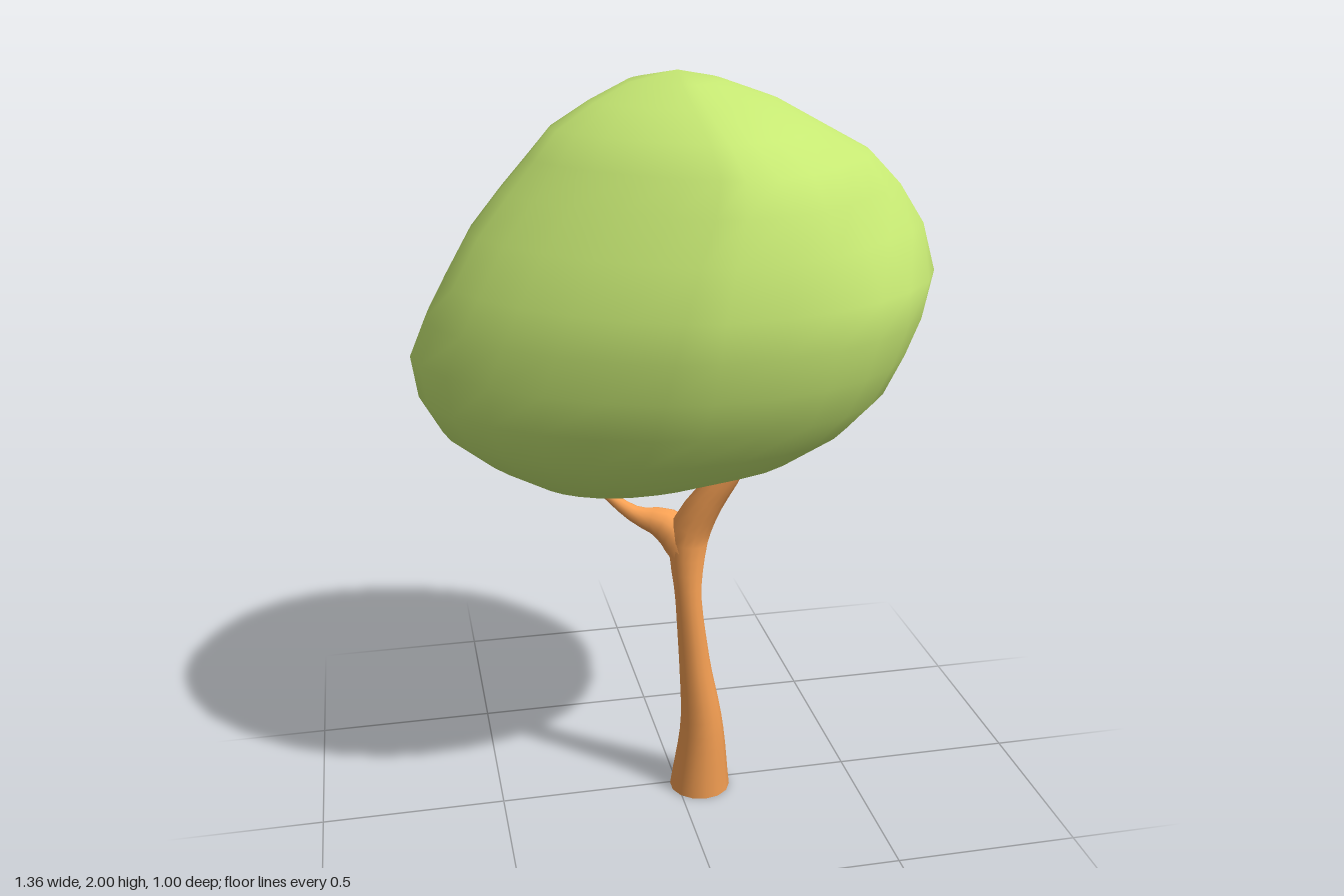
import * as THREE from 'three';

const bark = new THREE.MeshStandardMaterial({ color: 0xf8a154, side: THREE.DoubleSide });
const leaf = new THREE.MeshStandardMaterial({ color: 0xc6e873 });

// Tapered open limb: points are [x, y, z, radius]
function limb(name, points, rows, sides) {
  const curve = new THREE.CatmullRomCurve3(points.map(p => new THREE.Vector3(p[0], p[1], p[2])));
  const radii = new THREE.CatmullRomCurve3(points.map(p => new THREE.Vector3(p[3], 0, 0)));
  const geo = new THREE.TubeGeometry(curve, rows, 1, sides, false);
  const pos = geo.attributes.position;
  const v = new THREE.Vector3();
  for (let i = 0; i <= rows; i++) {
    const u = curve.getUtoTmapping(i / rows);
    const c = curve.getPoint(u);
    const r = radii.getPoint(u).x;
    for (let j = 0; j <= sides; j++) {
      const k = i * (sides + 1) + j;
      v.fromBufferAttribute(pos, k).sub(c).multiplyScalar(r).add(c);
      if (points[0][1] === 0 && i === 0) v.y = 0; // flat foot
      pos.setXYZ(k, v.x, v.y, v.z);
    }
  }
  const mesh = new THREE.Mesh(geo, bark);
  mesh.name = name;
  return mesh;
}

// Canopy cross-sections: [y, xMin, xMax, zBack, zFront, pivotX, pivotZ]
const RINGS = [
  [0.94, -0.30, -0.08, -0.07, 0.09, -0.19, 0.02],
  [0.96, -0.37, 0.09, -0.15, 0.16, -0.15, 0.01],
  [1.03, -0.50, 0.32, -0.28, 0.29, -0.10, 0],
  [1.11, -0.61, 0.46, -0.37, 0.37, -0.06, -0.02],
  [1.20, -0.665, 0.56, -0.42, 0.43, -0.03, -0.05],
  [1.30, -0.68, 0.62, -0.46, 0.47, -0.01, -0.08],
  [1.40, -0.64, 0.66, -0.50, 0.49, 0, -0.06],
  [1.50, -0.59, 0.68, -0.50, 0.50, 0.01, -0.03],
  [1.62, -0.52, 0.655, -0.495, 0.47, 0.04, -0.04],
  [1.72, -0.44, 0.59, -0.455, 0.435, 0.07, -0.04],
  [1.80, -0.37, 0.51, -0.415, 0.39, 0.08, -0.04],
  [1.87, -0.31, 0.38, -0.36, 0.315, 0.06, -0.04],
  [1.93, -0.21, 0.27, -0.305, 0.16, 0.04, -0.05],
  [1.975, -0.11, 0.14, -0.24, 0.05, 0.02, -0.07],
];

function canopyGeometry(sides = 28) {
  const verts = [];
  const index = [];
  for (const [y, x0, x1, z0, z1, px, pz] of RINGS) {
    const t = (y - 0.94) / 1.06;
    for (let j = 0; j < sides; j++) {
      const a = (j / sides) * Math.PI * 2;
      const c = Math.cos(a), s = Math.sin(a);
      // Each quadrant is a superellipse whose fullness changes with height
      const n = s > 0 ? (c > 0 ? 2.4 - 0.7 * t : 1.85 - 0.5 * t) : (c > 0 ? 1.55 + 1.2 * t : 2.3 - 0.6 * t);
      const fx = Math.sign(c) * Math.abs(c) ** (2 / n);
      const fz = Math.sign(s) * Math.abs(s) ** (2 / n);
      // Shallow hollow on the upper front right
      const k = 1 - 0.1 * Math.exp(-(((a - 0.72) / 0.33) ** 2) - ((y - 1.68) / 0.15) ** 2);
      verts.push(px + fx * k * (c > 0 ? x1 - px : px - x0), y, pz + fz * k * (s > 0 ? z1 - pz : pz - z0));
    }
  }
  for (let i = 0; i < RINGS.length - 1; i++) {
    for (let j = 0; j < sides; j++) {
      const a = i * sides + j, b = i * sides + (j + 1) % sides;
      index.push(a, a + sides, b, b, a + sides, b + sides);
    }
  }
  // Bottom and top poles
  const bottom = verts.length / 3, top = bottom + 1;
  verts.push(-0.19, 0.935, 0.02, 0.02, 2, -0.08);
  const last = (RINGS.length - 1) * sides;
  for (let j = 0; j < sides; j++) {
    const n = (j + 1) % sides;
    index.push(bottom, j, n, top, last + n, last + j);
  }
  const geo = new THREE.BufferGeometry();
  geo.setAttribute('position', new THREE.Float32BufferAttribute(verts, 3));
  geo.setIndex(index);
  geo.computeVertexNormals();
  return geo;
}

export function createModel() {
  const tree = new THREE.Group();
  tree.name = 'tree';

  // Trunk, flared at the foot and running on into the main branch
  tree.add(limb('trunk', [
    [0.064, 0, 0.022, 0.085],
    [0.068, 0.2, 0.026, 0.06],
    [0.046, 0.4, 0.03, 0.043],
    [0.026, 0.6, 0.039, 0.036],
    [0.022, 0.72, 0.04, 0.047],
    [0.028, 0.8, 0.042, 0.055],
    [0.068, 0.89, 0.062, 0.046],
    [0.13, 0.98, 0.088, 0.029],
    [0.17, 1.05, 0.1, 0.018],
  ], 24, 14));

  // Thin side branch, thick where it meets the fork
  tree.add(limb('sideBranch', [
    [0.03, 0.68, 0.042, 0.03],
    [0.012, 0.77, 0.03, 0.055],
    [-0.03, 0.81, -0.002, 0.046],
    [-0.1, 0.825, -0.045, 0.024],
    [-0.17, 0.87, -0.095, 0.014],
    [-0.25, 0.95, -0.14, 0.008],
    [-0.28, 0.99, -0.15, 0.005],
  ], 16, 12));

  const canopy = new THREE.Mesh(canopyGeometry(), leaf);
  canopy.name = 'canopy';
  tree.add(canopy);
  return tree;
}
